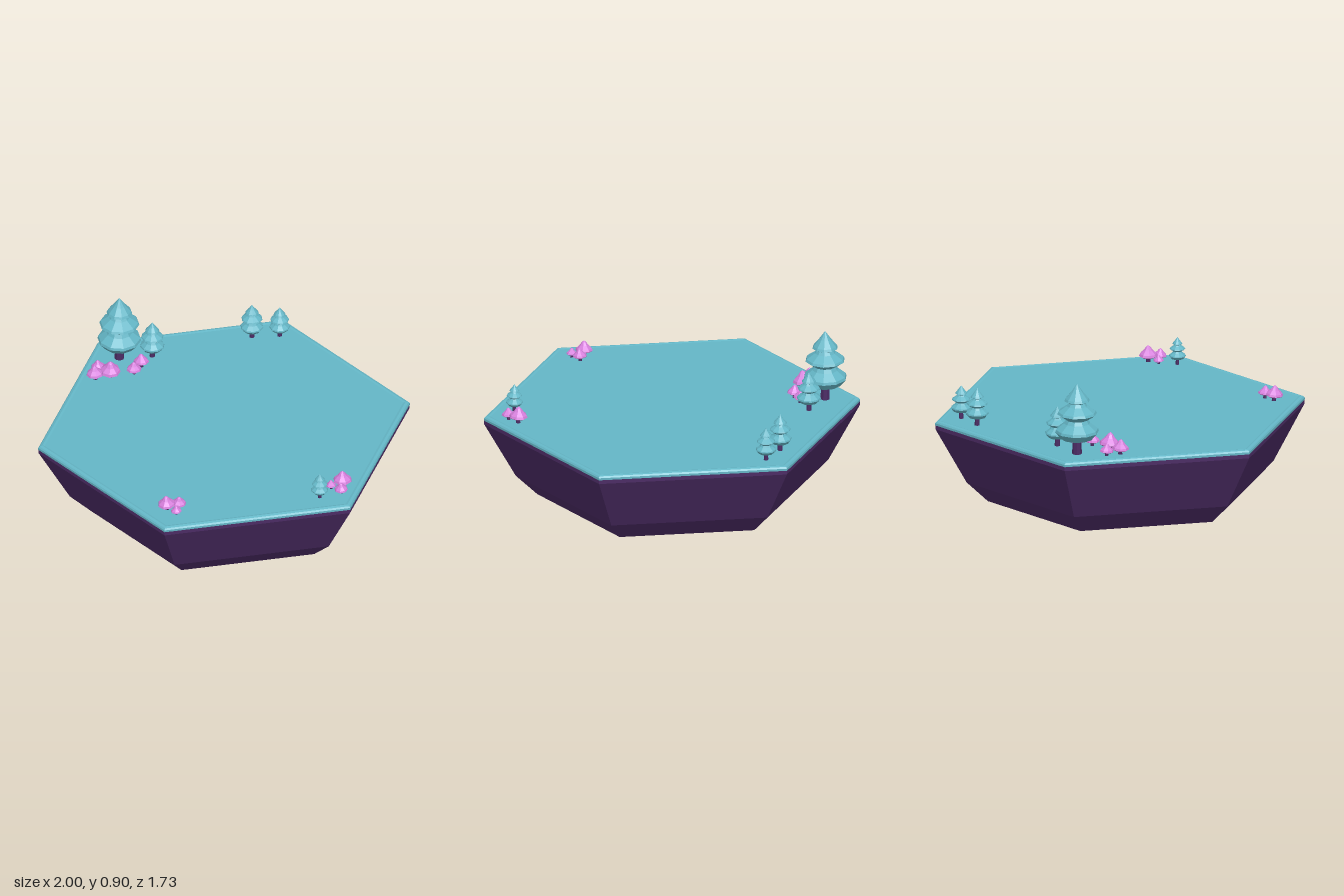
import * as THREE from 'three';

const teal = new THREE.MeshStandardMaterial({ color: 0x64b6c6, name: 'teal' });
const purple = new THREE.MeshStandardMaterial({ color: 0x4b2b64, name: 'deep purple' });
const pink = new THREE.MeshStandardMaterial({ color: 0xd67fdc, name: 'pink' });

const GROUND = 0.508;

// Faceted solid of revolution; profile runs from bottom to top as [radius, y]
function facetedLathe(name, profile, sides, material, start = 0) {
  const points = profile.map(([r, y]) => new THREE.Vector2(r, y));
  const geometry = new THREE.LatheGeometry(points, sides, start).toNonIndexed();
  geometry.computeVertexNormals();
  const mesh = new THREE.Mesh(geometry, material);
  mesh.name = name;
  return mesh;
}

// Fir with three flared tiers, unit size = the tallest tree
function makeTree(x, z, scale, turn) {
  const tree = new THREE.Group();
  tree.name = 'tree';
  tree.add(facetedLathe('trunk', [[0, -0.005], [0.026, -0.005], [0.022, 0.11], [0, 0.11]], 8, purple));
  const tiers = [
    [[0, 0.095], [0.085, 0.085], [0.116, 0.122], [0.112, 0.136], [0.07, 0.17], [0.05, 0.205], [0, 0.215]],
    [[0, 0.195], [0.06, 0.19], [0.106, 0.222], [0.1, 0.234], [0.055, 0.265], [0.035, 0.295], [0, 0.3]],
    [[0, 0.285], [0.04, 0.28], [0.068, 0.293], [0.062, 0.305], [0.032, 0.342], [0, 0.388]],
  ];
  tiers.forEach((profile) => tree.add(facetedLathe('foliageTier', profile, 10, teal)));
  tree.position.set(x, GROUND, z);
  tree.scale.setScalar(scale);
  tree.rotation.y = turn;
  return tree;
}

// Mushroom with a pointed cap, sized by its cap radius
function makeMushroom(x, z, r, turn) {
  const mushroom = new THREE.Group();
  mushroom.name = 'mushroom';
  mushroom.add(facetedLathe('stem', [[0, -0.1], [0.26, -0.1], [0.2, 0.75], [0, 0.75]], 6, purple));
  mushroom.add(facetedLathe('cap',
    [[0, 0.7], [0.8, 0.55], [1, 0.68], [0.9, 0.92], [0.5, 1.3], [0.25, 1.65], [0, 1.85]], 8, pink));
  mushroom.position.set(x, GROUND, z);
  mushroom.scale.setScalar(r);
  mushroom.rotation.set(0.08 * Math.sin(turn), turn, 0.08 * Math.cos(turn));
  return mushroom;
}

export function createModel() {
  const model = new THREE.Group();
  model.name = 'floatingIsland';

  // Hexagonal rock and its ground slab, corners on the x axis
  const rock = [[0, 0], [0.55, 0.004], [0.715, 0.048], [0.83, 0.16], [0.998, 0.465], [0.998, 0.487]];
  model.add(facetedLathe('rock', rock, 6, purple, Math.PI / 6));
  const ground = [[0.99, 0.487], [1, 0.487], [1, 0.499], [0.993, 0.507], [0.978, 0.511], [0.965, GROUND], [0, GROUND]];
  model.add(facetedLathe('ground', ground, 6, teal, Math.PI / 6));

  // Trees: x, z, scale
  [
    [-0.418, -0.7, 1],
    [-0.245, -0.68, 0.56],
    [0.305, -0.745, 0.53],
    [0.45, -0.725, 0.47],
    [0.36, 0.75, 0.39],
  ].forEach(([x, z, s], i) => model.add(makeTree(x, z, s, i * 0.9)));

  // Mushroom clusters: x, z, cap radius
  [
    [-0.58, -0.54, 0.046], [-0.5, -0.545, 0.056], [-0.55, -0.61, 0.037],
    [-0.37, -0.545, 0.04], [-0.32, -0.6, 0.042],
    [-0.45, 0.69, 0.047], [-0.385, 0.685, 0.038], [-0.41, 0.745, 0.029],
    [0.5, 0.67, 0.05], [0.435, 0.685, 0.028], [0.48, 0.733, 0.036],
  ].forEach(([x, z, r], i) => model.add(makeMushroom(x, z, r, i * 1.3)));

  return model;
}
